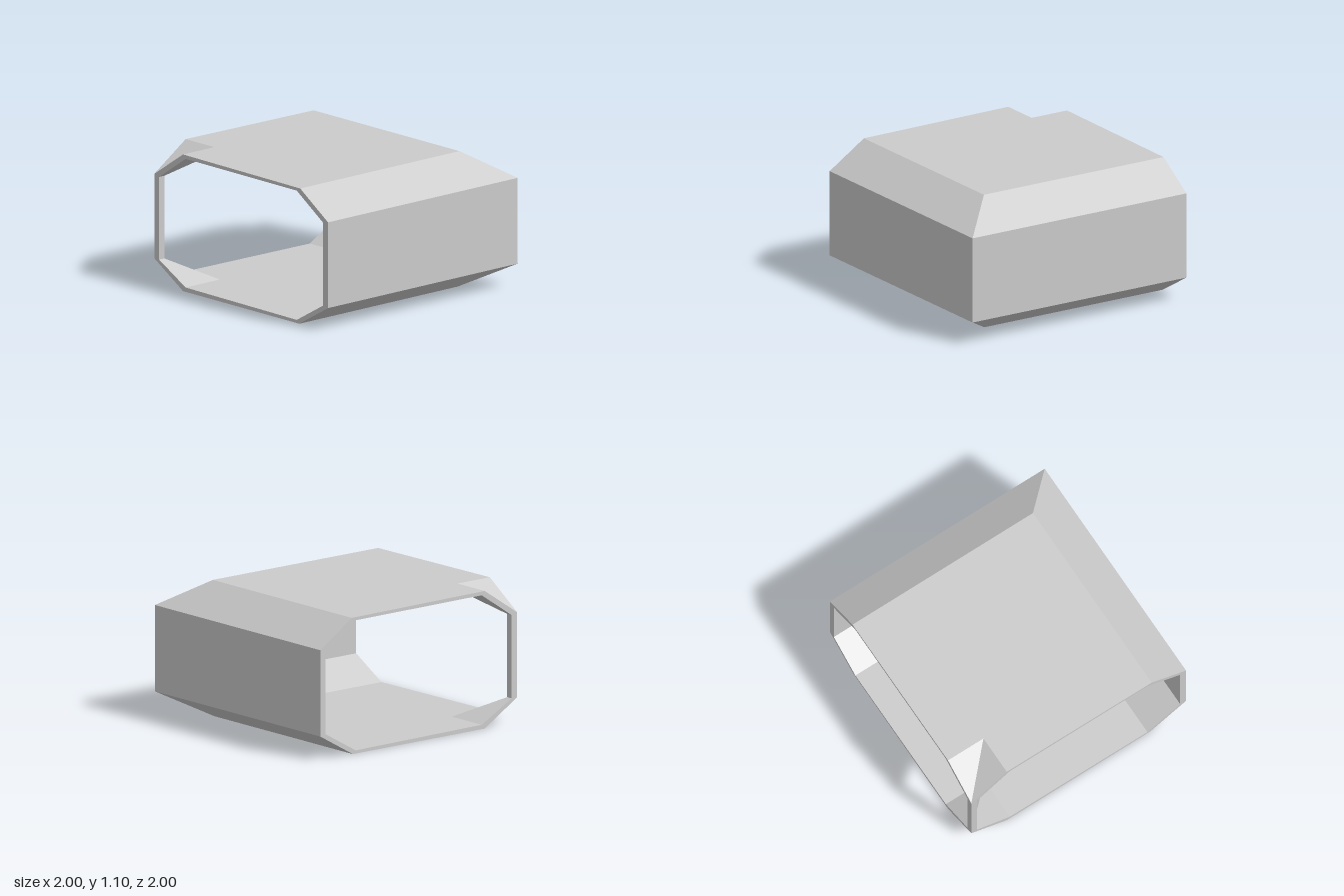
import * as THREE from 'three';

// Octagonal cross-sections [offset across the passage, height], counter-clockwise from the front
const OUTER = [[-0.67, 0], [0.67, 0], [1, 0.19], [1, 0.88], [0.68, 1.09], [-0.67, 1.1], [-1, 0.88], [-1, 0.2]];
const INNER = [[-0.64, 0.035], [0.64, 0.025], [0.945, 0.2], [0.945, 0.865], [0.64, 1.065], [-0.64, 1.07], [-0.945, 0.865], [-0.945, 0.2]];

// The section at the front mouth, at the diagonal mitre and at the side mouth
const stations = (profile) => [
  profile.map(([a, y]) => new THREE.Vector3(a, y, 1)),
  profile.map(([a, y]) => new THREE.Vector3(a, y, -a)),
  profile.map(([a, y]) => new THREE.Vector3(-1, y, -a)),
];

// Quad strip between two closed loops; zero-area triangles are dropped
function bridge(from, to, flip = false) {
  const pos = [];
  const tri = (a, b, c) => {
    if (new THREE.Triangle(a, b, c).getArea() < 1e-6) return;
    for (const p of flip ? [a, c, b] : [a, b, c]) pos.push(p.x, p.y, p.z);
  };
  from.forEach((a, i) => {
    const j = (i + 1) % from.length;
    tri(a, to[i], to[j]);
    tri(a, to[j], from[j]);
  });
  return pos;
}

export function createModel() {
  const group = new THREE.Group();
  group.name = 'cornerPassage';
  const material = new THREE.MeshStandardMaterial({ color: 0xcccccc, flatShading: true });

  const add = (name, positions) => {
    const geometry = new THREE.BufferGeometry();
    geometry.setAttribute('position', new THREE.Float32BufferAttribute(positions, 3));
    geometry.computeVertexNormals();
    const mesh = new THREE.Mesh(geometry, material);
    mesh.name = name;
    group.add(mesh);
  };

  const outer = stations(OUTER);
  const inner = stations(INNER);

  // Outside and lining, each swept round the right-angle bend
  add('outerShell', [...bridge(outer[0], outer[1]), ...bridge(outer[1], outer[2])]);
  add('innerLining', [...bridge(inner[0], inner[1], true), ...bridge(inner[1], inner[2], true)]);

  // Flat rims around the two mouths
  add('frontRim', bridge(outer[0], inner[0], true));
  add('sideRim', bridge(outer[2], inner[2]));

  return group;
}
